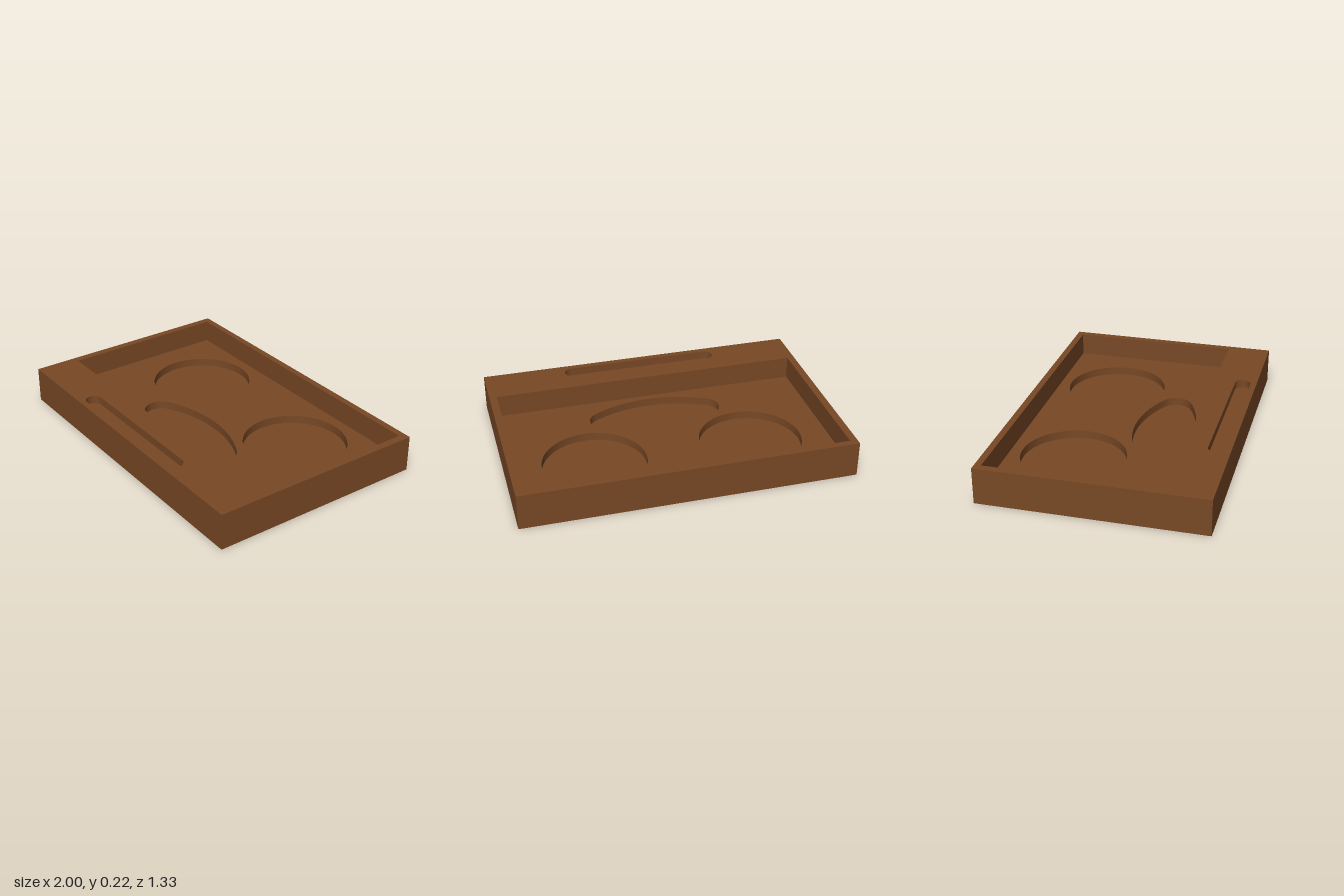
import * as THREE from 'three';
import { toCreasedNormals, mergeGeometries } from 'three/addons/utils/BufferGeometryUtils.js';

// Outlines are drawn in plan with shape y = -z, counter-clockwise from above.
function roundedRect(x0, x1, z0, z1, r = 0) {
  const s = new THREE.Shape();
  if (r === 0) {
    s.moveTo(x0, -z1).lineTo(x1, -z1).lineTo(x1, -z0).lineTo(x0, -z0).closePath();
    return s;
  }
  const q = Math.PI / 2;
  s.absarc(x1 - r, -z1 + r, r, -q, 0, false);
  s.absarc(x1 - r, -z0 - r, r, 0, q, false);
  s.absarc(x0 + r, -z0 - r, r, q, 2 * q, false);
  s.absarc(x0 + r, -z1 + r, r, 2 * q, 3 * q, false);
  s.closePath();
  return s;
}

function disc(x, z, r) {
  const s = new THREE.Shape();
  s.absarc(x, -z, r, 0, Math.PI * 2, false);
  return s;
}

// Two wide arcs joined by tight round ends.
function lens(z, endX, endR, arcR, offset) {
  const s = new THREE.Shape();
  const a = Math.atan2(offset, endX), p = Math.PI;
  s.absarc(endX, -z, endR, -a, a, false);
  s.absarc(0, -z - offset, arcR, a, p - a, false);
  s.absarc(-endX, -z, endR, p - a, p + a, false);
  s.absarc(0, -z + offset, arcR, p + a, 2 * p - a, false);
  s.closePath();
  return s;
}

const SEG = 24;

// Flat horizontal face with holes, facing up or down.
function face(outline, holes, y, down = false) {
  const s = outline.clone();
  s.holes = holes;
  const g = new THREE.ShapeGeometry(s, SEG);
  g.rotateX(-Math.PI / 2).translate(0, y, 0);
  if (down) {
    g.index.array.reverse();
    g.computeVertexNormals();
  }
  g.deleteAttribute('uv');
  return g.toNonIndexed();
}

// Vertical wall along an outline, facing out, or in for a recess.
function wall(outline, y0, y1, inward = false) {
  const pts = outline.getPoints(SEG);
  if (inward) pts.reverse();
  const pos = [];
  pts.forEach((a, i) => {
    const b = pts[(i + 1) % pts.length];
    if (a.distanceTo(b) < 1e-5) return;
    pos.push(a.x, y0, -a.y, b.x, y0, -b.y, b.x, y1, -b.y);
    pos.push(a.x, y0, -a.y, b.x, y1, -b.y, a.x, y1, -a.y);
  });
  const g = new THREE.BufferGeometry();
  g.setAttribute('position', new THREE.Float32BufferAttribute(pos, 3));
  g.computeVertexNormals();
  return toCreasedNormals(g, 0.6);
}

export function createModel() {
  const group = new THREE.Group();
  group.name = 'tray';
  const wood = new THREE.MeshStandardMaterial({ color: 0x784825 });
  wood.name = 'brown wood';

  const add = (name, ...parts) => {
    const mesh = new THREE.Mesh(mergeGeometries(parts), wood);
    mesh.name = name;
    group.add(mesh);
  };

  const TOP = 0.22, FLOOR = 0.08, WELL = 0.03;
  const block = roundedRect(-1, 1, -0.667, 0.667);
  const pocket = roundedRect(-0.955, 0.955, -0.627, 0.4);
  const slot = roundedRect(-0.49, 0.49, 0.533, 0.63, 0.048);
  const grip = roundedRect(-0.26, 0.26, 0.505, 0.595, 0.04);
  const wells = {
    leftRoundWell: disc(0.48, -0.25, 0.311),
    rightRoundWell: disc(-0.48, -0.25, 0.311),
    centreWell: lens(0.18, 0.315, 0.1, 0.76, 0.58),
  };

  // Outer block: sides, top rim and underside
  add('body', wall(block, 0, TOP), face(block, [pocket, slot], TOP), face(block, [grip], 0, true));

  // Large pocket and the wells sunk into its floor
  add('pocket', wall(pocket, FLOOR, TOP, true), face(pocket, Object.values(wells), FLOOR));
  for (const [name, outline] of Object.entries(wells)) {
    add(name, wall(outline, WELL, FLOOR, true), face(outline, [], WELL));
  }

  // Long slot in the front ledge
  add('frontSlot', wall(slot, 0.17, TOP, true), face(slot, [], 0.17));

  // Finger grip cut into the underside
  add('undersideGrip', wall(grip, 0, 0.05, true), face(grip, [], 0.05, true));

  return group;
}
